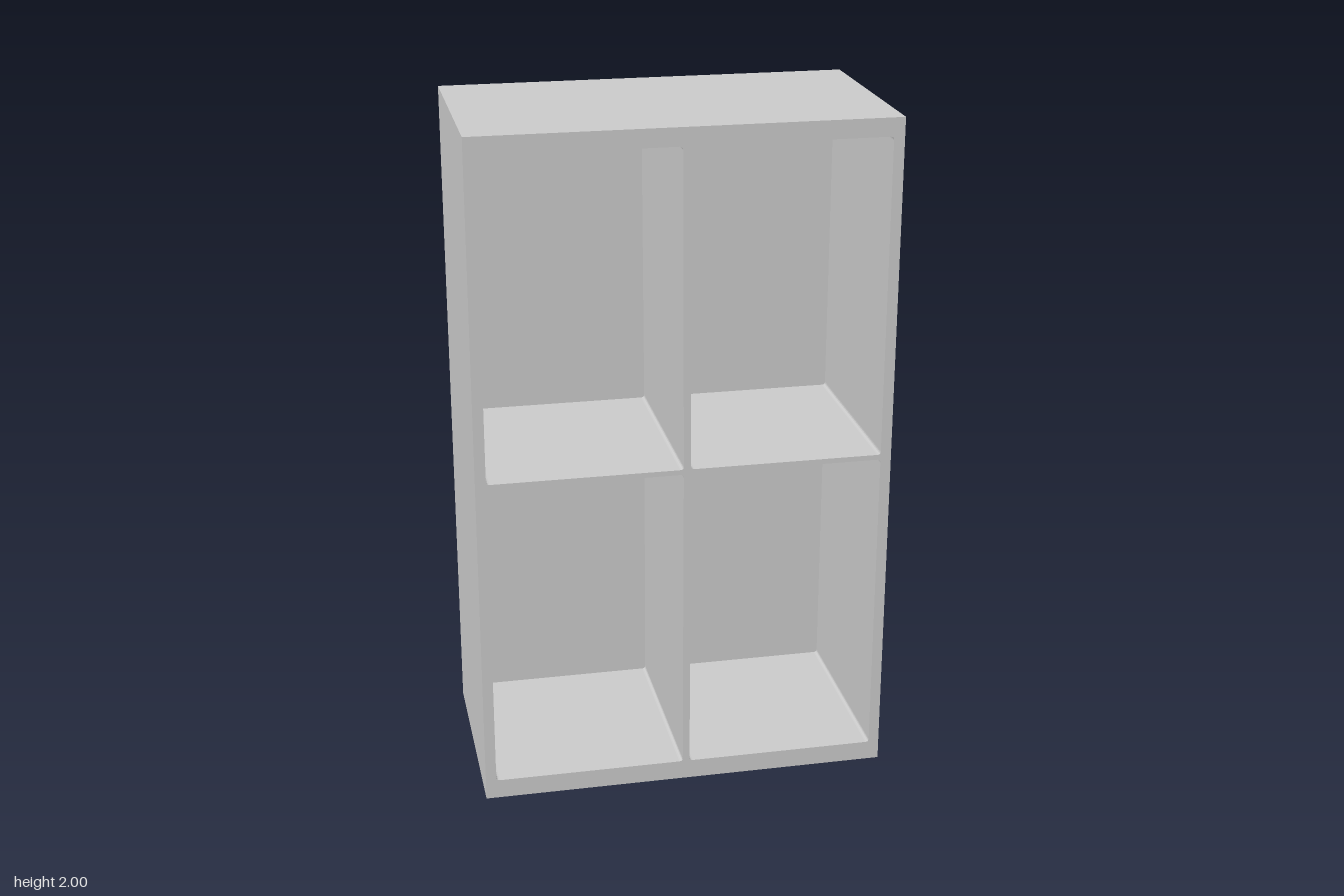
import * as THREE from 'three';

const W = 1.21, H = 2, D = 0.656, BACK = 0.056;

// Closed outline through the corners, each softened by a small radius
function softOutline(path, points, r) {
  const pts = points.map(([x, y]) => new THREE.Vector2(x, y));
  const toward = (a, b) => b.clone().sub(a).setLength(r).add(a);
  pts.forEach((p, i) => {
    const prev = pts[(i + pts.length - 1) % pts.length];
    const next = pts[(i + 1) % pts.length];
    const a = toward(p, prev), b = toward(p, next);
    if (i === 0) path.moveTo(a.x, a.y);
    else path.lineTo(a.x, a.y);
    path.quadraticCurveTo(p.x, p.y, b.x, b.y);
  });
  path.closePath();
  return path;
}

export function createModel() {
  const group = new THREE.Group();
  group.name = 'shelfUnit';
  const material = new THREE.MeshStandardMaterial({ color: 0xcccccc, flatShading: true });

  // Outer frame with four compartments cut through it
  const outline = new THREE.Shape();
  outline.moveTo(-W / 2, 0);
  outline.lineTo(W / 2, 0);
  outline.lineTo(W / 2, H);
  outline.lineTo(-W / 2, H);
  outline.closePath();

  // The upper divider leans very slightly to one side
  const side = 0.574;
  const rows = [
    { y0: 0.058, y1: 0.995, bottom: [-0.009, 0.012], top: [-0.009, 0.012] },
    { y0: 1.01, y1: 1.947, bottom: [-0.009, 0.012], top: [-0.014, 0.007] },
  ];
  for (const { y0, y1, bottom, top } of rows) {
    const openings = [
      [[-side, y0], [-side, y1], [top[0], y1], [bottom[0], y0]],
      [[bottom[1], y0], [top[1], y1], [side, y1], [side, y0]],
    ];
    for (const corners of openings) outline.holes.push(softOutline(new THREE.Path(), corners, 0.01));
  }
  const frame = new THREE.Mesh(
    new THREE.ExtrudeGeometry(outline, { depth: D - BACK, bevelEnabled: false, curveSegments: 4 }),
    material
  );
  frame.name = 'frameAndShelves';
  frame.position.z = -D / 2 + BACK;
  group.add(frame);

  // Solid back closing all compartments
  const back = new THREE.Mesh(new THREE.BoxGeometry(W, H, BACK), material);
  back.name = 'backPanel';
  back.position.set(0, H / 2, -D / 2 + BACK / 2);
  group.add(back);

  return group;
}
